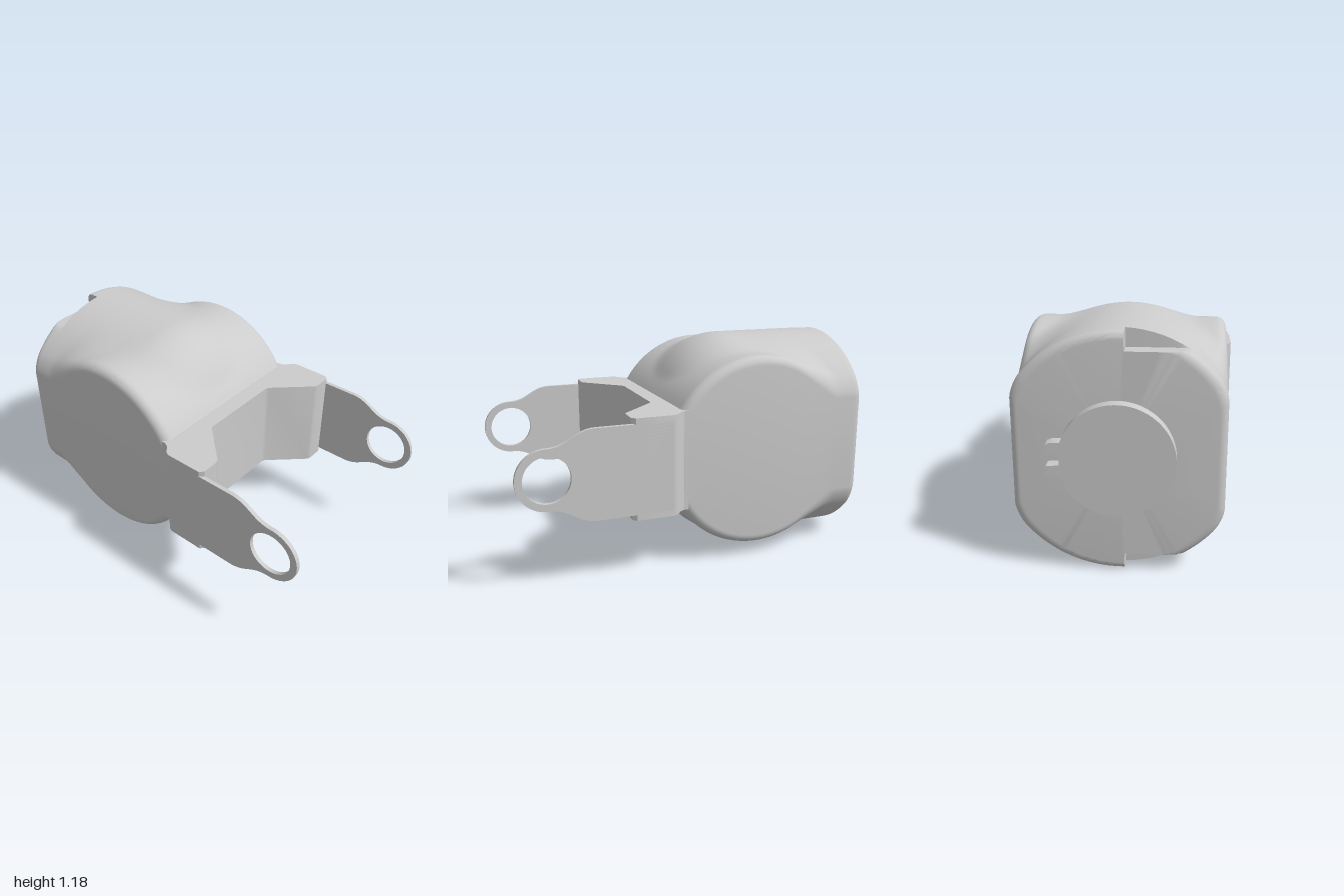
import * as THREE from 'three';
import { toCreasedNormals } from 'three/addons/utils/BufferGeometryUtils.js';

const CY = 0.595; // height of both cylinder axes
const grey = new THREE.MeshStandardMaterial({ color: 0xcccccc });

function mesh(name, geometry) {
  const m = new THREE.Mesh(geometry, grey);
  m.name = name;
  return m;
}

const circ = (r, d) => Math.sqrt(Math.max(0, r * r - d * d));
const roundDrop = (r, d) => (d > 0 ? r - circ(r, d) : 0);

function smoothMax(a, b, k) {
  const h = Math.max(0, k - Math.abs(a - b)) / k;
  return Math.max(a, b) + h * h * k / 4;
}

// Half height of the housing: a cross cylinder blended into a domed lengthwise one
function halfHeight(x, z) {
  const edge = roundDrop(0.05, Math.abs(x) - 0.45);
  const back = roundDrop(0.04, -0.9 - z);
  const dome = roundDrop(0.38, z + 0.3);
  const cross = circ(0.52 - edge, z + 0.32);
  const along = circ(0.59 - dome, x) - edge;
  const k = 0.06 + 0.1 * THREE.MathUtils.smoothstep(-z, 0.4, 0.72);
  let h = smoothMax(cross, along, k) - back;
  // locating notch in the rear rim
  if (z < -0.855 && x > -0.32 && x < -0.03) h = Math.min(h, 0.5);
  return h;
}

function housingGeometry() {
  const xs = [-0.031, -0.029];
  for (let i = -22; i <= 22; i++) xs.push(i * 0.45 / 22);
  const zs = [-0.856, -0.854];
  for (let i = 1; i <= 7; i++) {
    const s = Math.sin(i / 7 * Math.PI / 2);
    xs.push(0.45 + 0.05 * s, -0.45 - 0.05 * s);
    zs.push(-0.9 - 0.04 * s);
  }
  for (let i = 0; i <= 64; i++) zs.push(-0.9 + i * 1.027 / 64);
  xs.sort((a, b) => a - b);
  zs.sort((a, b) => a - b);

  const pos = [], idx = [], n = xs.length * 2;
  for (const z of zs) {
    const w = 1 - roundDrop(0.04, -0.9 - z) / 0.5;
    for (const x of xs) pos.push(x * w, CY - halfHeight(x, z), z);
    for (const x of [...xs].reverse()) pos.push(x * w, CY + halfHeight(x, z), z);
  }
  for (let i = 0; i < zs.length - 1; i++) {
    for (let j = 0; j < n; j++) {
      const a = i * n + j, b = i * n + (j + 1) % n;
      idx.push(a, b, b + n, a, b + n, a + n);
    }
  }
  // end caps
  const c = pos.length / 3, last = (zs.length - 1) * n;
  pos.push(0, CY, zs[0], 0, CY, zs[zs.length - 1]);
  for (let j = 0; j < n; j++) {
    const k = (j + 1) % n;
    idx.push(c, k, j, c + 1, last + j, last + k);
  }
  const g = new THREE.BufferGeometry();
  g.setAttribute('position', new THREE.Float32BufferAttribute(pos, 3));
  g.setIndex(idx);
  return toCreasedNormals(g, 0.55);
}

// Front yoke: plan outline (x, -z) extruded upwards
function yokeGeometry() {
  const half = [[0.5, 0.1], [0.5, 0.125], [0.515, 0.15], [0.55, 0.178], [0.56, 0.2],
    [0.56, 0.4], [0.54, 0.42], [0.45, 0.42], [0.43, 0.412], [0.25, 0.222], [0.23, 0.215]];
  const pts = [
    ...half.map(([x, z]) => new THREE.Vector2(x, -z)),
    ...half.reverse().map(([x, z]) => new THREE.Vector2(-x, -z)),
  ];
  const g = new THREE.ExtrudeGeometry(new THREE.Shape(pts), { depth: 0.53, bevelEnabled: false });
  g.rotateX(-Math.PI / 2);
  return toCreasedNormals(g, 0.5);
}

// Side arm: plate with a round eye, drawn in (z, y)
function armGeometry() {
  const s = new THREE.Shape();
  s.moveTo(0.2, -0.235);
  s.lineTo(0.6, -0.235);
  s.bezierCurveTo(0.71, -0.235, 0.73, -0.155, 0.845, -0.155);
  s.absarc(0.845, 0, 0.155, -Math.PI / 2, Math.PI / 2, false);
  s.bezierCurveTo(0.73, 0.155, 0.71, 0.235, 0.6, 0.235);
  s.lineTo(0.2, 0.235);
  const eye = new THREE.Path();
  eye.absarc(0.845, 0, 0.118, 0, Math.PI * 2, true);
  s.holes.push(eye);
  const g = new THREE.ExtrudeGeometry(s, { depth: 0.022, bevelEnabled: false, curveSegments: 32 });
  g.rotateY(-Math.PI / 2);
  return toCreasedNormals(g, 0.5);
}

// Rear disc with a pair of key tabs on its edge
function discGeometry() {
  const s = new THREE.Shape();
  const a = 0.32;
  s.absarc(0, 0, 0.272, a, Math.PI * 2 - a, false);
  for (const [x, y] of [[0.3, -0.085], [0.325, -0.075], [0.325, -0.03], [0.265, -0.025],
    [0.265, 0.025], [0.325, 0.03], [0.325, 0.075], [0.3, 0.085]]) s.lineTo(x, y);
  const g = new THREE.ExtrudeGeometry(s, { depth: 0.08, bevelEnabled: false, curveSegments: 64 });
  return toCreasedNormals(g, 0.5);
}

export function createModel() {
  const model = new THREE.Group();
  model.name = 'yokedHousing';

  model.add(mesh('housing', housingGeometry()));

  const yoke = mesh('frontYoke', yokeGeometry());
  yoke.position.y = 0.33;
  model.add(yoke);

  const arm = armGeometry();
  for (const [name, x] of [['leftArm', 0.56], ['rightArm', -0.538]]) {
    const m = mesh(name, arm);
    m.position.set(x, CY, 0);
    model.add(m);
  }

  const disc = mesh('rearDisc', discGeometry());
  disc.position.set(0, CY, -1);
  model.add(disc);

  return model;
}
